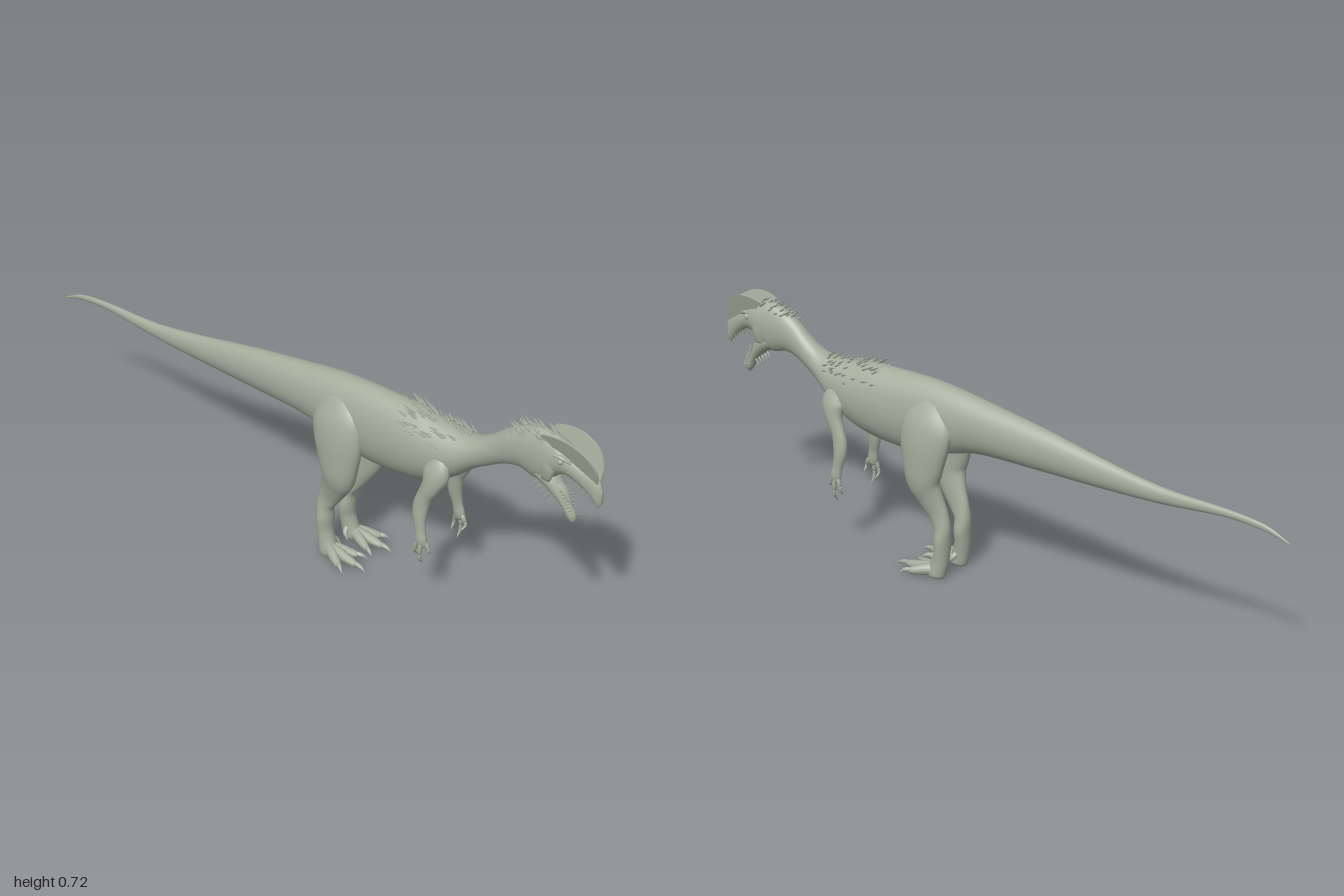
import * as THREE from 'three';
import { mergeGeometries } from 'three/addons/utils/BufferGeometryUtils.js';

const V = (x, y, z) => new THREE.Vector3(x, y, z);

// Smooth closed skin through elliptical sections [x, y, z, half width, half depth]
function loft(sections, steps = 4, sides = 16, fixedDir = null) {
  const path = new THREE.CatmullRomCurve3(sections.map(s => V(s[0], s[1], s[2])), false, 'catmullrom', 0.5);
  const size = new THREE.CatmullRomCurve3(sections.map(s => V(s[3], s[4], 0)), false, 'catmullrom', 0.5);
  const n = (sections.length - 1) * steps, pos = [], idx = [];
  for (let i = 0; i <= n; i++) {
    const c = path.getPoint(i / n), r = size.getPoint(i / n);
    const t = fixedDir || path.getTangent(i / n);
    const side = V(1, 0, 0).addScaledVector(t, -t.x).normalize();
    const up = t.clone().cross(side);
    for (let j = 0; j < sides; j++) {
      const a = j / sides * Math.PI * 2;
      const p = c.clone().addScaledVector(side, Math.cos(a) * Math.max(r.x, 0.0003))
        .addScaledVector(up, Math.sin(a) * Math.max(r.y, 0.0003));
      pos.push(p.x, p.y, p.z);
    }
  }
  const start = pos.length / 3, first = sections[0], last = sections[sections.length - 1];
  pos.push(first[0], first[1], first[2], last[0], last[1], last[2]);
  for (let j = 0; j < sides; j++) {
    const k = (j + 1) % sides;
    for (let i = 0; i < n; i++) {
      const a = i * sides + j, b = i * sides + k;
      idx.push(a, b, b + sides, a, b + sides, a + sides);
    }
    idx.push(start, k, j, start + 1, n * sides + j, n * sides + k);
  }
  const g = new THREE.BufferGeometry();
  g.setAttribute('position', new THREE.Float32BufferAttribute(pos, 3));
  g.setIndex(idx);
  g.computeVertexNormals();
  return g;
}

// Small cone standing at a point and pointing along a direction
function spike(base, dir, length, radius) {
  const g = new THREE.ConeGeometry(radius, length, 5);
  g.translate(0, length * 0.4, 0);
  g.applyQuaternion(new THREE.Quaternion().setFromUnitVectors(V(0, 1, 0), dir.clone().normalize()));
  return g.translate(base.x, base.y, base.z);
}

// Body outline: [z, top, bottom, half width]
const BODY = [
  [-1, 0.412, 0.408, 0.001], [-0.95, 0.437, 0.422, 0.004], [-0.9, 0.45, 0.43, 0.006],
  [-0.8, 0.459, 0.435, 0.009], [-0.6, 0.467, 0.418, 0.016], [-0.4, 0.5, 0.412, 0.026],
  [-0.2, 0.54, 0.411, 0.04], [0, 0.572, 0.408, 0.054], [0.1, 0.588, 0.385, 0.062],
  [0.2, 0.597, 0.36, 0.066], [0.3, 0.598, 0.358, 0.07], [0.4, 0.596, 0.37, 0.073],
  [0.48, 0.586, 0.395, 0.07], [0.55, 0.58, 0.44, 0.059], [0.6, 0.587, 0.485, 0.046],
  [0.65, 0.615, 0.517, 0.036], [0.7, 0.656, 0.545, 0.033], [0.75, 0.686, 0.557, 0.034],
  [0.8, 0.701, 0.545, 0.037], [0.84, 0.7, 0.557, 0.038], [0.87, 0.69, 0.588, 0.036],
  [0.9, 0.672, 0.597, 0.031], [0.94, 0.647, 0.58, 0.022], [0.97, 0.63, 0.556, 0.016],
  [0.99, 0.612, 0.537, 0.012], [1, 0.588, 0.55, 0.005],
];

// Point on the body at z, with angle measured from the top toward +x
function onBody(z, angle) {
  let i = 0;
  while (i < BODY.length - 2 && BODY[i + 1][0] < z) i++;
  const a = BODY[i], b = BODY[i + 1], f = (z - a[0]) / (b[0] - a[0]);
  const m = [1, 2, 3].map(k => a[k] + (b[k] - a[k]) * f);
  return V(Math.sin(angle) * m[2], (m[0] + m[1]) / 2 + Math.cos(angle) * (m[0] - m[1]) / 2, z);
}

export function createModel() {
  const model = new THREE.Group();
  const skin = new THREE.MeshStandardMaterial({ color: 0xa4ac9c });
  skin.name = 'greyGreenSkin';
  const add = (name, geometry, parent = model) => {
    const mesh = new THREE.Mesh(geometry, skin);
    mesh.name = name;
    parent.add(mesh);
    return mesh;
  };
  let seed = 7;
  const rand = () => (seed = (seed * 16807) % 2147483647) / 2147483647;

  // Tail, trunk, neck and skull in one skin
  add('body', loft(BODY.map(([z, t, b, w]) => [0, (t + b) / 2, z, w, (t - b) / 2]), 4, 28, V(0, 0, 1)));

  // Open lower jaw and tongue
  add('lowerJaw', loft([
    [0, 0.59, 0.79, 0.03, 0.03], [0, 0.567, 0.835, 0.03, 0.027], [0, 0.532, 0.872, 0.023, 0.019],
    [0, 0.5, 0.896, 0.016, 0.014], [0, 0.474, 0.912, 0.013, 0.014], [0, 0.458, 0.918, 0.006, 0.007]]));
  add('tongue', loft([
    [0, 0.575, 0.85, 0.014, 0.006], [0, 0.545, 0.885, 0.012, 0.005], [0, 0.515, 0.905, 0.005, 0.003]]));

  // Rows of teeth on both jaws
  const teeth = [];
  for (const s of [-1, 1]) {
    for (let i = 0; i < 9; i++) {
      const p = onBody(0.895 + i * 0.0115, Math.PI * 0.86);
      teeth.push(spike(V(p.x * s, p.y, p.z), V(0, -1, -0.15), 0.016, 0.003));
      const f = i / 8;
      teeth.push(spike(V(s * (0.019 - 0.009 * f), 0.546 - 0.068 * f, 0.884 + 0.038 * f),
        V(0, 0.5, 0.8), 0.013, 0.0025));
    }
  }
  add('teeth', mergeGeometries(teeth));

  // Quills over the shoulders, the nape and the throat
  const quills = [];
  const quillPatch = (count, z0, z1, spread, length) => {
    for (let i = 0; i < count; i++) {
      const z = z0 + (z1 - z0) * (i + rand()) / count, a = (rand() * 2 - 1) * spread;
      const dir = V(Math.sin(a) * 0.6, Math.cos(a) * 0.55, -0.9);
      quills.push(spike(onBody(z, a), dir, length * (0.7 + rand() * 0.6), 0.0045));
    }
  };
  quillPatch(60, 0.37, 0.58, 1.1, 0.036);
  quillPatch(30, 0.72, 0.85, 0.8, 0.03);
  for (let i = 0; i < 10; i++) {
    const s = i % 2 ? 1 : -1, f = i / 9;
    quills.push(spike(V(s * 0.02, 0.548 - f * 0.04, 0.81 + f * 0.055), V(s * 0.3, -0.7, -0.7), 0.022, 0.0035));
  }
  add('quills', mergeGeometries(quills));

  for (const s of [-1, 1]) {
    const label = s > 0 ? 'left' : 'right';
    const half = new THREE.Group();
    half.name = label + 'Side';
    model.add(half);
    const limb = (name, rows, steps, sides) =>
      add(name, loft(rows.map(r => [r[0] * s, ...r.slice(1)]), steps, sides), half);

    // Thin head crest leaning outward
    const outline = new THREE.Shape();
    outline.moveTo(0.985, 0.6);
    outline.splineThru([[0.987, 0.645], [0.965, 0.685], [0.925, 0.708], [0.88, 0.715], [0.835, 0.708],
      [0.82, 0.698], [0.845, 0.685], [0.862, 0.665], [0.88, 0.635]].map(p => new THREE.Vector2(...p)));
    outline.lineTo(0.93, 0.605);
    const crest = new THREE.ExtrudeGeometry(outline, { depth: 0.006, bevelEnabled: false, curveSegments: 30 });
    crest.translate(0, 0, -0.003).rotateY(-Math.PI / 2);
    const cp = crest.attributes.position;
    for (let i = 0; i < cp.count; i++) cp.setX(i, cp.getX(i) + s * (0.006 + (cp.getY(i) - 0.61) * 0.28));
    crest.computeVertexNormals();
    add('crest', crest, half);

    // Eye with a pointed brow, and the cheek
    const eye = add('eye', new THREE.SphereGeometry(0.009, 14, 10), half);
    eye.position.set(s * 0.031, 0.647, 0.885);
    limb('brow', [[0.026, 0.65, 0.915, 0.003, 0.003], [0.034, 0.662, 0.89, 0.007, 0.006],
      [0.041, 0.664, 0.868, 0.002, 0.002]], 4, 10);
    limb('cheek', [[0.027, 0.65, 0.84, 0.008, 0.015], [0.028, 0.61, 0.845, 0.011, 0.022],
      [0.025, 0.57, 0.84, 0.006, 0.015]], 4, 10);

    // Leg from hip to ankle
    limb('leg', [
      [0.035, 0.54, 0.15, 0.02, 0.05], [0.052, 0.48, 0.16, 0.034, 0.085], [0.06, 0.42, 0.168, 0.038, 0.085],
      [0.063, 0.36, 0.172, 0.037, 0.073], [0.063, 0.3, 0.172, 0.035, 0.058], [0.055, 0.25, 0.153, 0.027, 0.046],
      [0.049, 0.2, 0.128, 0.021, 0.036], [0.048, 0.16, 0.113, 0.024, 0.027], [0.048, 0.12, 0.114, 0.031, 0.025],
      [0.05, 0.08, 0.115, 0.027, 0.024], [0.052, 0.045, 0.122, 0.025, 0.027], [0.054, 0.012, 0.132, 0.026, 0.03],
      [0.054, 0.002, 0.133, 0.022, 0.027]], 4, 20);

    // Three front toes and a small inner toe, each with a claw
    for (const [x, z] of [[0.02, 0.215], [0.06, 0.24], [0.096, 0.205]]) {
      const dx = x - 0.055, dz = z - 0.13, at = f => [0.055 + dx * f, 0.13 + dz * f];
      const row = (f, y, rx, ry) => [at(f)[0], y, at(f)[1], rx, ry];
      limb('toe', [row(0, 0.022, 0.018, 0.02), row(0.4, 0.02, 0.016, 0.018), row(0.75, 0.015, 0.014, 0.014),
        row(1, 0.012, 0.009, 0.01)], 4, 10);
      limb('toeClaw', [row(0.92, 0.015, 0.008, 0.009), row(1.15, 0.013, 0.006, 0.007),
        row(1.33, 0.003, 0.0005, 0.0005)], 4, 8);
    }
    limb('innerToe', [[0.038, 0.045, 0.125, 0.008, 0.009], [0.02, 0.03, 0.132, 0.007, 0.008],
      [0.014, 0.012, 0.148, 0.001, 0.001]], 4, 8);

    // Arm from shoulder to palm
    limb('arm', [
      [0.045, 0.5, 0.505, 0.02, 0.035], [0.06, 0.46, 0.515, 0.024, 0.042], [0.069, 0.42, 0.508, 0.021, 0.03],
      [0.073, 0.38, 0.49, 0.018, 0.024], [0.076, 0.345, 0.48, 0.017, 0.025], [0.08, 0.31, 0.479, 0.016, 0.022],
      [0.084, 0.27, 0.486, 0.012, 0.017], [0.086, 0.24, 0.492, 0.012, 0.019], [0.086, 0.22, 0.494, 0.008, 0.015]], 4, 14);

    // Three fingers with hooked claws
    [[0.08, 0.512, 0.2], [0.089, 0.494, 0.165], [0.086, 0.477, 0.185]].forEach(([x, z, tip]) => {
      const top = 0.24, y = f => top + (tip - top) * f, zz = f => 0.493 + (z - 0.493) * f;
      limb('finger', [[0.086, y(0), zz(0.4), 0.007, 0.007], [x + 0.003, y(0.3), zz(0.9), 0.007, 0.007],
        [x + 0.004, y(0.6), zz(1.1), 0.006, 0.006]], 3, 8);
      limb('fingerClaw', [[x + 0.004, y(0.57), zz(1.1), 0.006, 0.006], [x + 0.003, y(0.85), zz(1.3), 0.004, 0.005],
        [x - 0.012, y(1.12), zz(1.1), 0.0005, 0.0005]], 3, 8);
    });
  }
  return model;
}
